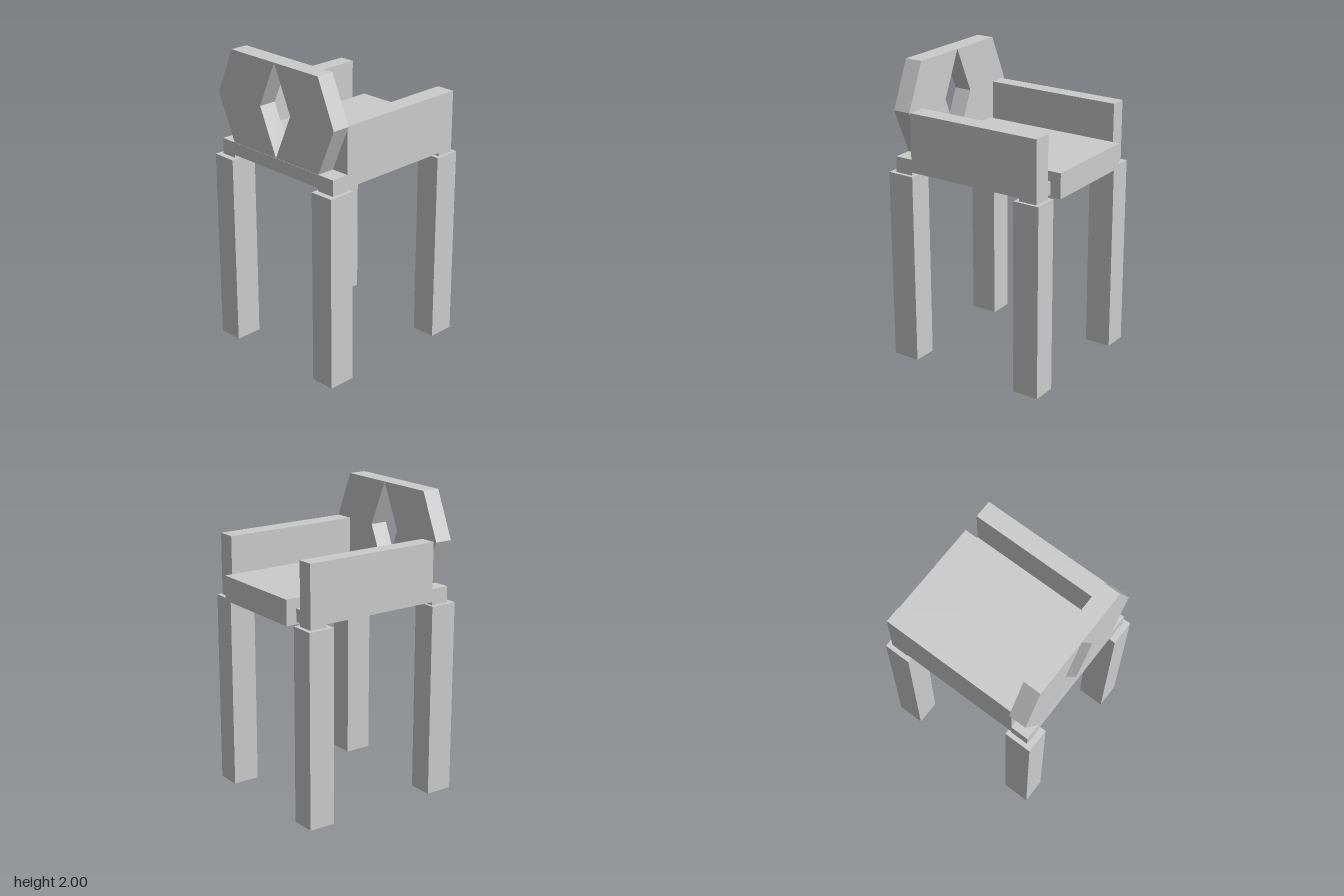
import * as THREE from 'three';

const material = new THREE.MeshStandardMaterial({ color: 0xcccccc, flatShading: true });

export function createModel() {
  const group = new THREE.Group();

  const add = (name, geometry) => {
    const mesh = new THREE.Mesh(geometry, material);
    mesh.name = name;
    group.add(mesh);
  };
  // Box given by its lower and upper limits on each axis
  const box = (name, x0, x1, y0, y1, z0, z1) => {
    const g = new THREE.BoxGeometry(x1 - x0, y1 - y0, z1 - z0);
    g.translate((x0 + x1) / 2, (y0 + y1) / 2, (z0 + z1) / 2);
    add(name, g);
  };

  // Four square legs
  box('backLeg', -0.59, -0.405, 0, 1.285, 0.36, 0.525);
  box('backLeg', -0.59, -0.405, 0, 1.285, -0.53, -0.365);
  box('frontLeg', 0.36, 0.54, 0, 1.285, 0.355, 0.52);
  box('frontLeg', 0.36, 0.54, 0, 1.285, -0.53, -0.365);

  // Base slab with small corner blocks resting on the legs
  box('baseSlab', -0.55, 0.512, 1.305, 1.39, -0.5, 0.5);
  for (const [x0, x1] of [[-0.55, -0.425], [0.39, 0.512]]) {
    box('cornerBlock', x0, x1, 1.284, 1.35, 0.375, 0.5);
    box('cornerBlock', x0, x1, 1.284, 1.35, -0.5, -0.39);
  }

  // Thick seat, overhanging at the front
  box('seat', -0.42, 0.583, 1.29, 1.455, -0.352, 0.345);

  // Side panels
  box('armPanel', -0.428, 0.512, 1.305, 1.695, 0.375, 0.5);
  box('armPanel', -0.428, 0.512, 1.305, 1.695, -0.5, -0.392);

  // Hexagonal backrest: two chevron halves leaving a diamond opening
  for (const [inner, shoulder, outer] of [[0.135, 0.375, 0.507], [-0.135, -0.39, -0.525]]) {
    const half = new THREE.Shape([
      [0, 2], [shoulder, 2], [outer, 1.695], [shoulder, 1.39], [0, 1.39], [inner, 1.695],
    ].map(([z, y]) => new THREE.Vector2(z, y)));
    const g = new THREE.ExtrudeGeometry(half, { depth: 0.12, bevelEnabled: false });
    g.rotateY(-Math.PI / 2);
    g.translate(-0.428, 0, 0);
    add('backrestHalf', g);
  }

  return group;
}
